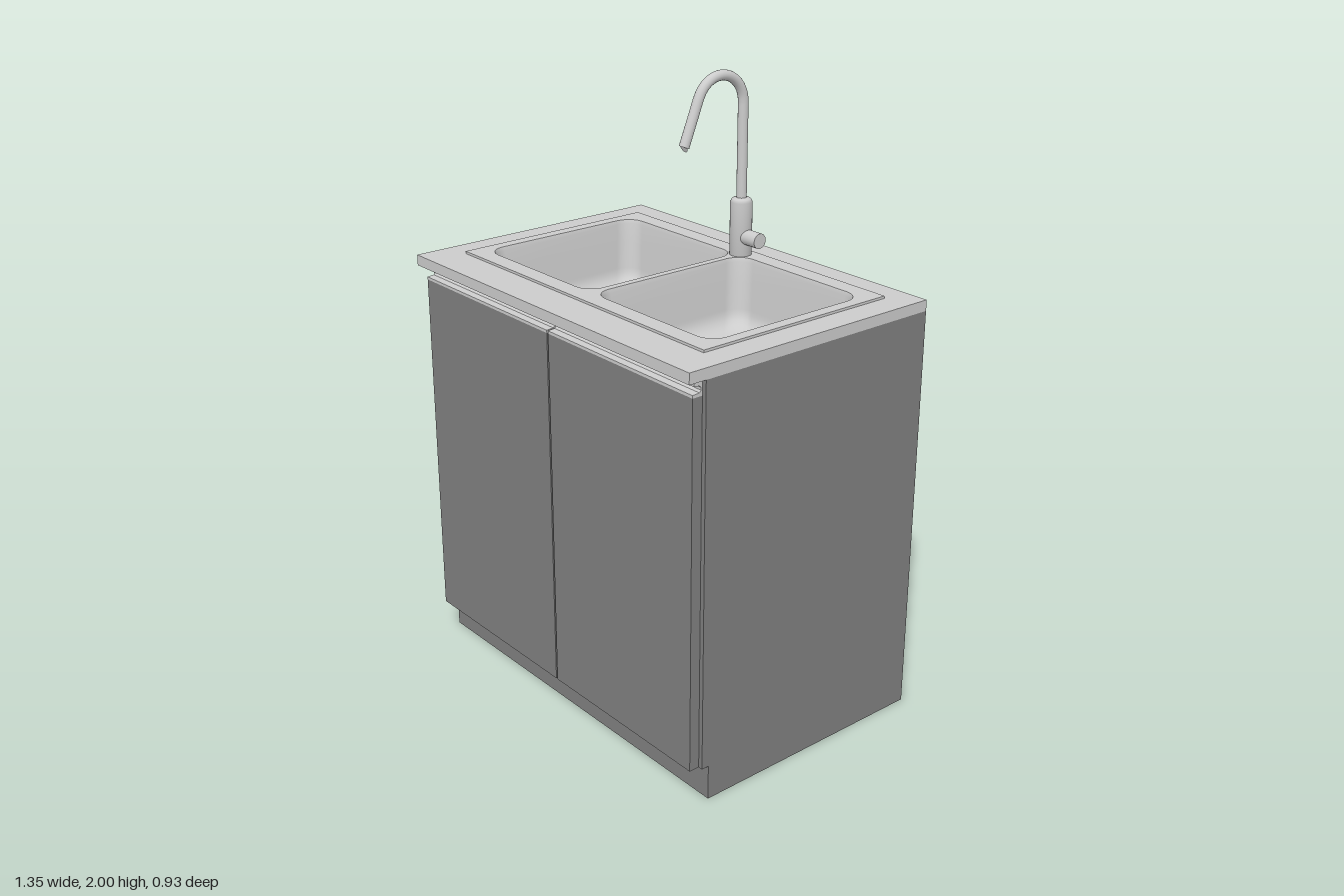
import * as THREE from 'three';

const steel = new THREE.MeshStandardMaterial({ color: 0xcccccc });
const steelSheet = new THREE.MeshStandardMaterial({ color: 0xcccccc, side: THREE.DoubleSide });
const board = new THREE.MeshStandardMaterial({ color: 0x808080 });

const BASIN = { x: 0.28, z: -0.02, w: 0.268, d: 0.298, r: 0.06 };

function add(parent, name, geometry, material) {
  const mesh = new THREE.Mesh(geometry, material);
  mesh.name = name;
  parent.add(mesh);
  return mesh;
}

// Box given by its minimum and maximum corners
function box(parent, name, a, b, material) {
  const m = add(parent, name, new THREE.BoxGeometry(b[0] - a[0], b[1] - a[1], b[2] - a[2]), material);
  m.position.set((a[0] + b[0]) / 2, (a[1] + b[1]) / 2, (a[2] + b[2]) / 2);
  return m;
}

// Counter-clockwise outline of a rounded rectangle
function roundedRect(cx, cy, w, d, r, steps = 6) {
  const pts = [];
  [[1, 1], [-1, 1], [-1, -1], [1, -1]].forEach(([sx, sy], q) => {
    for (let i = 0; i <= steps; i++) {
      const a = (q + i / steps) * Math.PI / 2;
      pts.push(new THREE.Vector2(cx + sx * (w - r) + r * Math.cos(a), cy + sy * (d - r) + r * Math.sin(a)));
    }
  });
  return pts;
}

function rectPoints(x0, y0, x1, y1) {
  return [[x0, y0], [x1, y0], [x1, y1], [x0, y1]].map(p => new THREE.Vector2(...p));
}

// Horizontal plate with holes, drawn in (x, -z)
function plate(outline, holes, y, height) {
  const shape = new THREE.Shape(outline);
  holes.forEach(h => shape.holes.push(new THREE.Path(h)));
  return new THREE.ExtrudeGeometry(shape, { depth: height, bevelEnabled: false })
    .rotateX(-Math.PI / 2).translate(0, y, 0);
}

// Profile given in (z, y), extruded along x from x0 to x1
function alongX(points, x0, x1) {
  const shape = new THREE.Shape(points.map(([z, y]) => new THREE.Vector2(-z, y)));
  return new THREE.ExtrudeGeometry(shape, { depth: x1 - x0, bevelEnabled: false })
    .rotateY(Math.PI / 2).translate(x0, 0, 0);
}

// Open bowl lofted through shrinking rounded rectangles
function basinGeometry() {
  const rings = [[0, 1.398], [0.004, 1.385], [0.012, 1.32], [0.022, 1.235]];
  for (let i = 1; i <= 6; i++) {
    const a = i / 6 * Math.PI / 2;
    rings.push([0.022 + 0.065 * (1 - Math.cos(a)), 1.235 - 0.065 * Math.sin(a)]);
  }
  rings.push([0.12, 1.168], [0.2, 1.167]);
  const pos = [], index = [];
  let n = 0;
  rings.forEach(([inset, y]) => {
    const ring = roundedRect(0, 0, BASIN.w - inset, BASIN.d - inset, BASIN.r);
    n = ring.length;
    ring.forEach(p => pos.push(p.x, y, p.y));
  });
  for (let k = 0; k < rings.length - 1; k++) {
    for (let i = 0; i < n; i++) {
      const a = k * n + i, b = k * n + (i + 1) % n;
      index.push(a, b, a + n, b, b + n, a + n);
    }
  }
  const last = (rings.length - 1) * n, centre = pos.length / 3;
  pos.push(0, 1.166, 0);
  for (let i = 0; i < n; i++) index.push(last + i, last + (i + 1) % n, centre);
  const g = new THREE.BufferGeometry();
  g.setAttribute('position', new THREE.Float32BufferAttribute(pos, 3));
  g.setIndex(index);
  g.computeVertexNormals();
  return g;
}

function makeCabinet() {
  const g = new THREE.Group();
  g.name = 'cabinet';
  // Side panels with the toe-kick notch
  const side = [[-0.465, 0], [0.38, 0], [0.38, 0.115], [0.405, 0.115], [0.405, 1.355], [-0.465, 1.355]];
  add(g, 'rightSidePanel', alongX(side, -0.675, -0.655), board);
  add(g, 'leftSidePanel', alongX(side, 0.655, 0.675), board);
  box(g, 'backPanel', [-0.655, 0, -0.465], [0.655, 1.355, -0.445], board);
  box(g, 'bottomPanel', [-0.655, 0, -0.445], [0.655, 0.02, 0.36], board);
  box(g, 'toeKick', [-0.655, 0, 0.36], [0.655, 0.115, 0.38], board);
  box(g, 'frontFrame', [-0.655, 0.115, 0.385], [0.655, 1.355, 0.405], board);

  // Doors with a grooved finger pull along the top
  const pull = [[0.405, 1.305], [0.44, 1.305], [0.44, 1.314], [0.416, 1.316], [0.41, 1.322],
    [0.41, 1.33], [0.416, 1.336], [0.436, 1.338], [0.436, 1.344], [0.425, 1.355], [0.405, 1.355]];
  for (const [s, label] of [[1, 'left'], [-1, 'right']]) {
    const x0 = Math.min(s * 0.003, s * 0.66), x1 = Math.max(s * 0.003, s * 0.66);
    box(g, label + 'Door', [x0, 0.115, 0.405], [x1, 1.305, 0.44], board);
    add(g, label + 'FingerPull', alongX(pull, x0, x1), steel);
  }
  return g;
}

function makeSink() {
  const g = new THREE.Group();
  g.name = 'sink';
  add(g, 'worktop', plate(rectPoints(-0.675, -0.465, 0.675, 0.465),
    [rectPoints(-0.57, -0.32, 0.57, 0.36)], 1.355, 0.035), steel);
  const holes = [1, -1].map(s => roundedRect(s * BASIN.x, -BASIN.z, BASIN.w, BASIN.d, BASIN.r));
  add(g, 'sinkRim', plate(rectPoints(-0.586, -0.337, 0.586, 0.377), holes, 1.388, 0.01), steel);
  const basin = basinGeometry();
  for (const s of [1, -1]) {
    add(g, s > 0 ? 'leftBasin' : 'rightBasin', basin, steelSheet).position.set(s * BASIN.x, 0, BASIN.z);
  }
  return g;
}

function makeFaucet() {
  const g = new THREE.Group();
  g.name = 'faucet';
  g.position.z = -0.329;
  // Body with a tapered shoulder
  const body = [[0, 1.395], [0.036, 1.395], [0.036, 1.572], [0.03, 1.582], [0.016, 1.586]];
  const profile = [];
  body.forEach(p => profile.push(new THREE.Vector2(...p)));
  add(g, 'faucetBody', new THREE.LatheGeometry(profile, 24), steel);
  // Side lever
  const lever = add(g, 'faucetLever', new THREE.CylinderGeometry(0.025, 0.025, 0.07, 20), steel);
  lever.rotation.z = Math.PI / 2;
  lever.position.set(0.055, 1.46, 0);
  // Gooseneck spout: riser, arc, slanted outlet
  const pts = [];
  for (let i = 0; i <= 4; i++) pts.push(new THREE.Vector3(0, 1.57 + i * 0.075, 0));
  for (let i = 0; i <= 10; i++) {
    const a = Math.PI - i / 10 * (Math.PI * 157 / 180);
    pts.push(new THREE.Vector3(0, 1.89 + 0.095 * Math.sin(a), 0.095 + 0.095 * Math.cos(a)));
  }
  const end = new THREE.Vector3(0, 1.783, 0.241), bend = pts[pts.length - 1];
  for (let i = 1; i <= 3; i++) pts.push(bend.clone().lerp(end, i / 3));
  add(g, 'spout', new THREE.TubeGeometry(new THREE.CatmullRomCurve3(pts), 80, 0.0165, 16), steel);
  // Outlet cap
  const cap = add(g, 'spoutOutlet', new THREE.CircleGeometry(0.0165, 16), steel);
  cap.position.copy(end);
  cap.lookAt(end.clone().multiplyScalar(2).sub(bend));
  return g;
}

export function createModel() {
  const model = new THREE.Group();
  model.name = 'sinkCabinet';
  model.add(makeCabinet(), makeSink(), makeFaucet());
  return model;
}
